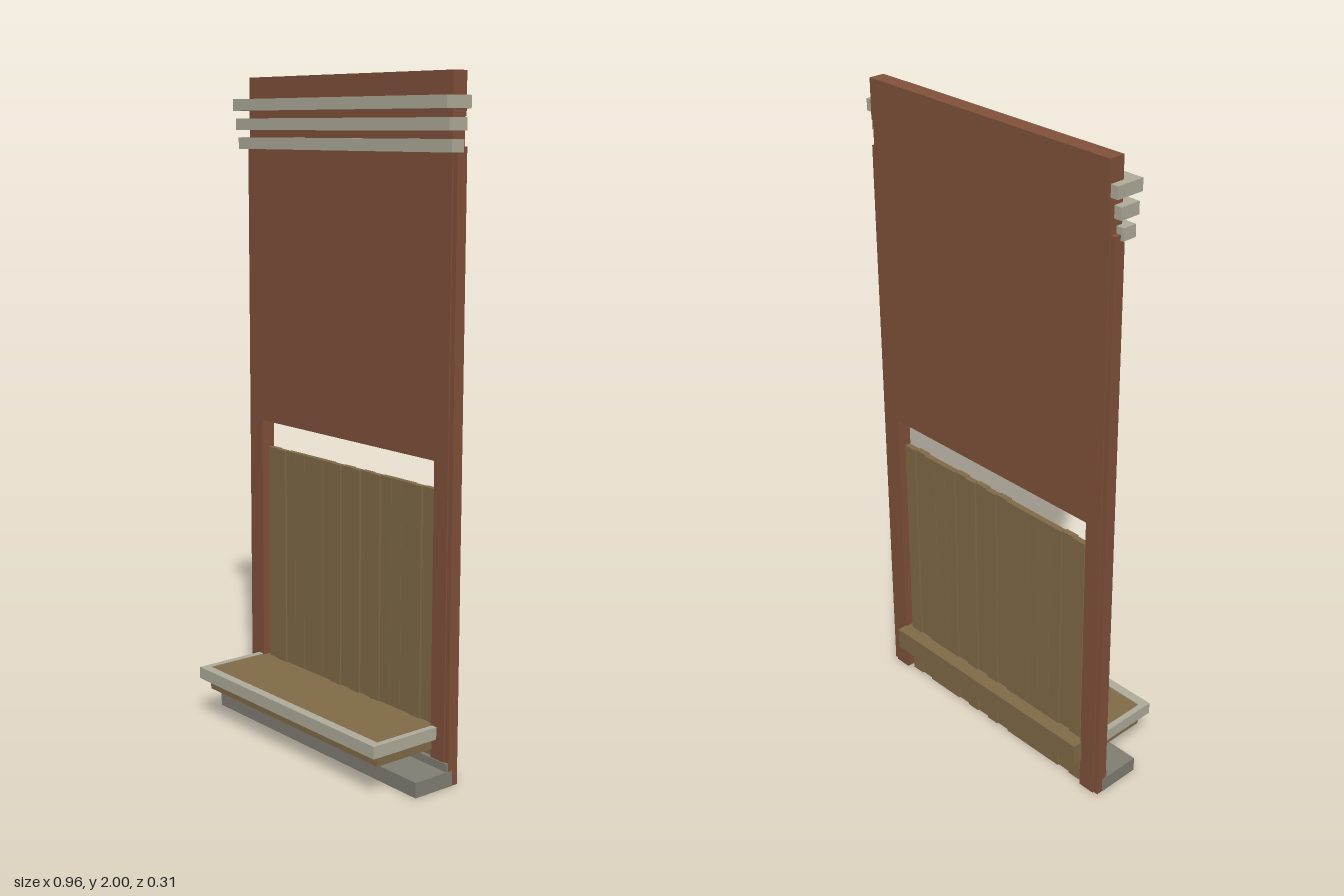
import * as THREE from 'three';

const mat = (name, color) => {
  const m = new THREE.MeshStandardMaterial({ color });
  m.name = name;
  return m;
};

export function createModel() {
  const brick = mat('brick brown', 0x82523b);
  const wood = mat('tan wood', 0x826c49);
  const stone = mat('pale stone', 0xb2ae9d);
  const sillGrey = mat('dark grey', 0x827f74);

  const model = new THREE.Group();
  model.name = 'serviceHatchWall';

  // Box given by its extents on each axis
  const box = (name, material, x0, x1, y0, y1, z0, z1) => {
    const mesh = new THREE.Mesh(new THREE.BoxGeometry(x1 - x0, y1 - y0, z1 - z0), material);
    mesh.position.set((x0 + x1) / 2, (y0 + y1) / 2, (z0 + z1) / 2);
    mesh.name = name;
    model.add(mesh);
  };

  // Wall panel with a doorway open at the bottom
  const s = new THREE.Shape([
    [-0.455, 0], [-0.4, 0], [-0.4, 0.94], [0.4, 0.94],
    [0.4, 0], [0.455, 0], [0.455, 1.88], [-0.455, 1.88],
  ].map(([x, y]) => new THREE.Vector2(x, y)));
  const wall = new THREE.Mesh(
    new THREE.ExtrudeGeometry(s, { depth: 0.045, bevelEnabled: false }), brick);
  wall.position.z = -0.125;
  wall.name = 'wallPanel';
  model.add(wall);
  box('topBeam', brick, -0.455, 0.455, 1.88, 2, -0.13, -0.08);

  // Narrow strips along the wall sides
  box('leftEdgeStrip', brick, 0.455, 0.47, 0, 1.8, -0.12, -0.085);
  box('rightEdgeStrip', brick, -0.47, -0.455, 0, 1.8, -0.12, -0.085);

  // Stepped cornice
  [[1.9, 1.935, -0.125, -0.035], [1.842, 1.877, -0.11, -0.045], [1.785, 1.82, -0.1, -0.055]]
    .forEach(([y0, y1, z0, z1], i) => box(`corniceRail${i + 1}`, stone, -0.479, 0.479, y0, y1, z0, z1));

  // Door slats, staggered in depth except for two flush runs
  const count = 17, w = 0.77 / count;
  for (let i = 0; i < count; i++) {
    const flush = (i >= 3 && i <= 5) || (i >= 12 && i <= 14);
    const dz = !flush && i % 2 ? 0.005 : 0;
    const x = -0.385 + i * w;
    box(`doorSlat${i + 1}`, wood, x, x + w - 0.001, 0, 0.855, -0.113 + dz, -0.095 + dz);
  }

  // Counter passing through the door, edged on three sides
  box('counter', wood, -0.405, 0.405, 0.095, 0.165, -0.156, 0.126);
  box('counterFrontEdge', stone, -0.424, 0.424, 0.13, 0.167, 0.126, 0.155);
  box('counterLeftEdge', stone, 0.405, 0.424, 0.13, 0.167, -0.08, 0.126);
  box('counterRightEdge', stone, -0.424, -0.405, 0.13, 0.167, -0.08, 0.126);

  // Base step and its small riser
  box('baseStep', sillGrey, -0.471, 0.471, 0, 0.046, -0.1, 0.04);
  box('baseRiser', sillGrey, -0.469, 0.469, 0.046, 0.07, -0.09, -0.077);

  return model;
}
